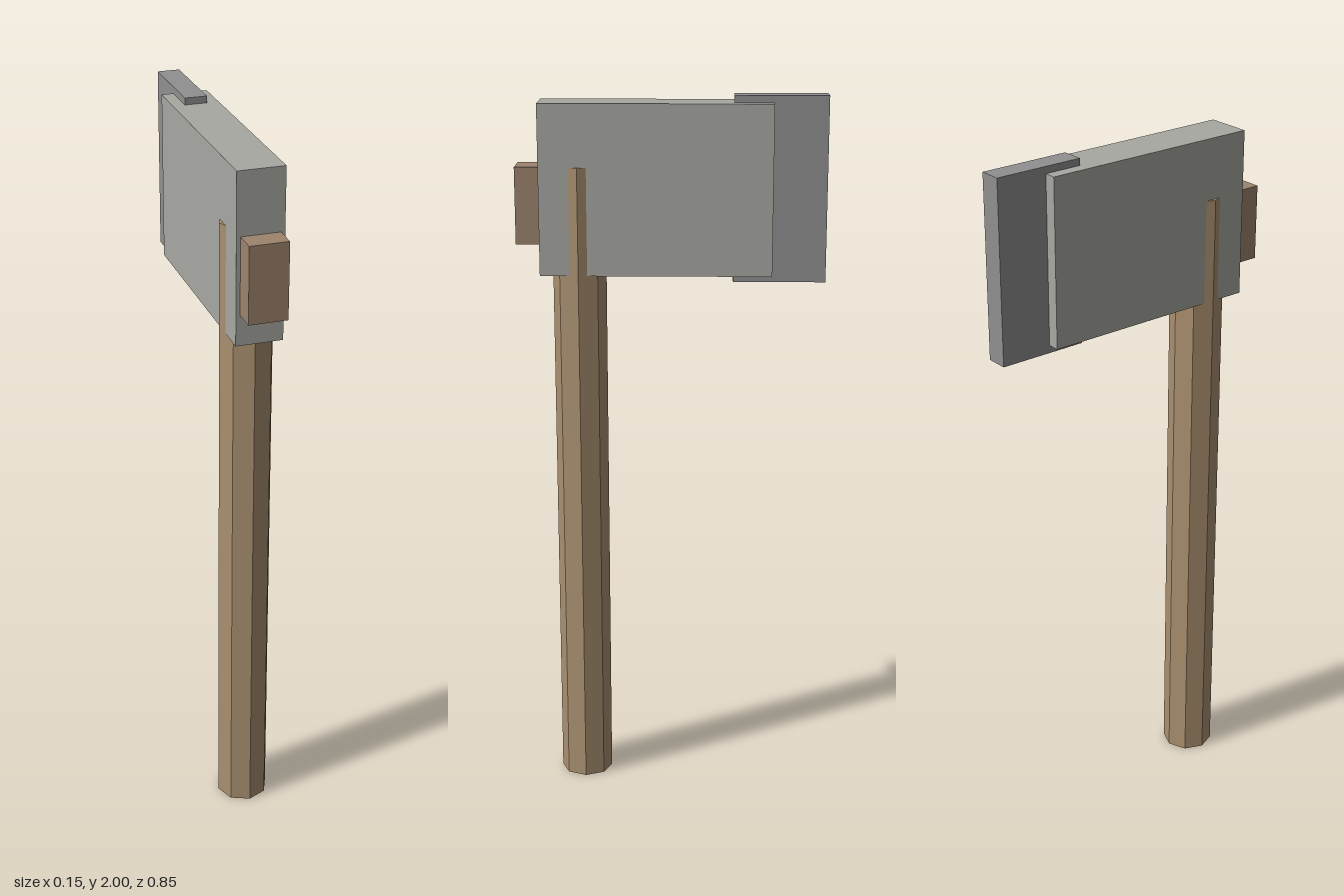
import * as THREE from 'three';

export function createModel() {
  const axe = new THREE.Group();
  axe.name = 'axe';

  const add = (name, geometry, color, x, y, z) => {
    const material = new THREE.MeshStandardMaterial({ color, flatShading: true });
    const mesh = new THREE.Mesh(geometry, material);
    mesh.name = name;
    mesh.position.set(x, y, z);
    axe.add(mesh);
  };

  // Box given by its half width and its y and z ranges
  const addBox = (name, color, halfX, y0, y1, z0, z1) =>
    add(name, new THREE.BoxGeometry(2 * halfX, y1 - y0, z1 - z0), color, 0, (y0 + y1) / 2, (z0 + z1) / 2);

  // Eight-sided wooden shaft, its corners showing through the sides of the head
  add('handle', new THREE.CylinderGeometry(0.074, 0.074, 1.81, 8), 0xaa9070, 0, 0.905, 0.254);

  // Thick head, thinner and taller cutting blade at the back
  addBox('head', 0xa8a8a3, 0.064, 1.514, 1.981, -0.277, 0.36);
  addBox('blade', 0x909090, 0.031, 1.493, 2, -0.425, -0.17);

  // Wooden block on the front of the head
  addBox('frontBlock', 0x9d846e, 0.053, 1.599, 1.81, 0.297, 0.425);

  return axe;
}
